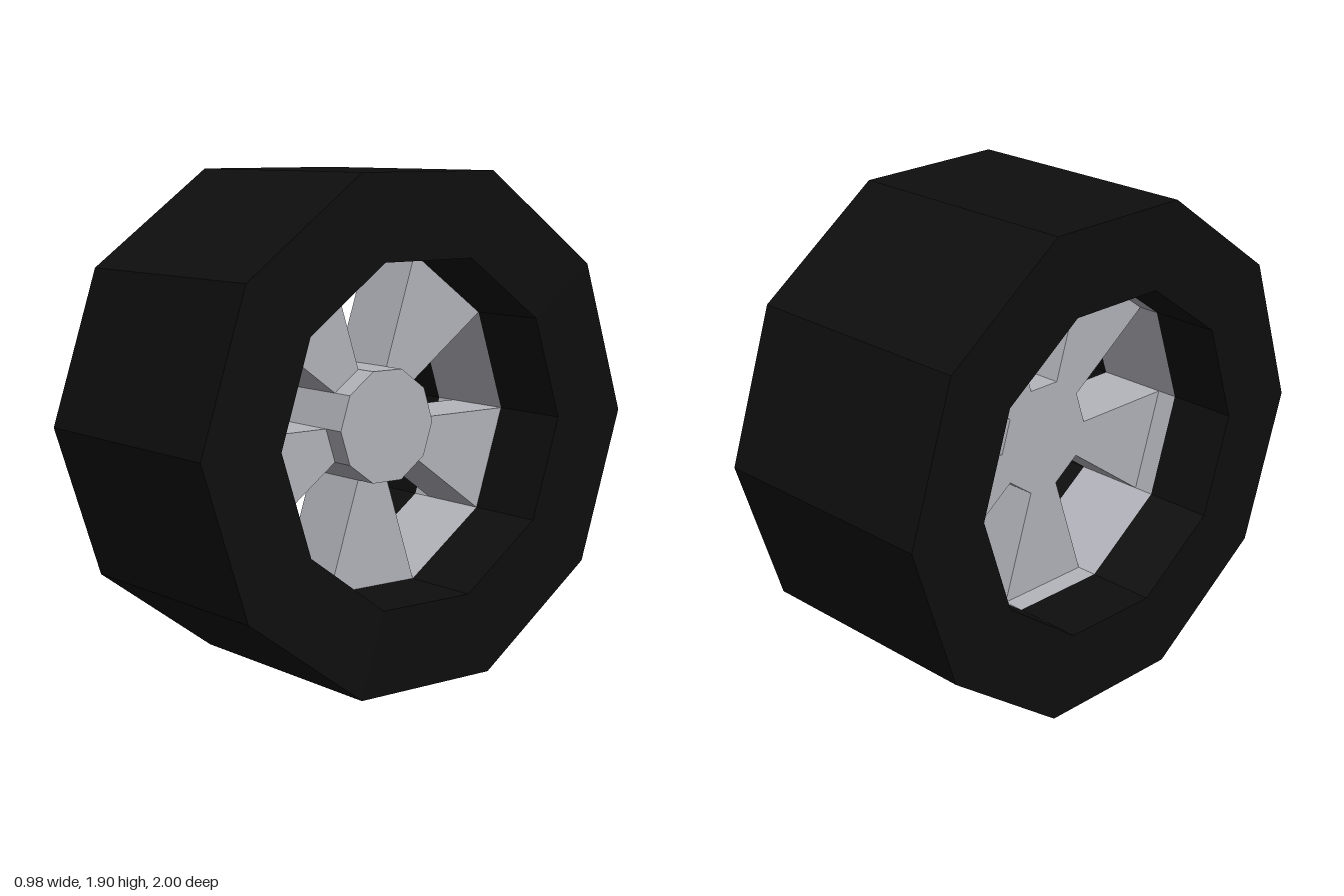
import * as THREE from 'three';

const SIDES = 10;
const R_TYRE = 1, R_RIM = 0.665, R_HUB = 0.222, HALF_W = 0.488;
const RIM_BACK = -0.21, RIM_FRONT = 0.165;      // metal band along the axle
const SPOKE_BACK = -0.125, HUB_FRONT = 0.255;

// Give every facet its own normal
function faceted(geometry) {
  const g = geometry.index ? geometry.toNonIndexed() : geometry;
  g.computeVertexNormals();
  return g;
}

// Ten-sided ring around the x axis from [radius, x] pairs
function ring(profile) {
  const points = profile.map(([r, x]) => new THREE.Vector2(r, x));
  return faceted(new THREE.LatheGeometry(points, SIDES).rotateZ(-Math.PI / 2));
}

// Flat outline extruded along the x axis
function slab(points, from, to) {
  const g = new THREE.ExtrudeGeometry(new THREE.Shape(points), { depth: to - from, bevelEnabled: false });
  return faceted(g.translate(0, 0, from).rotateY(Math.PI / 2));
}

const polar = (r, degrees) => {
  const a = THREE.MathUtils.degToRad(degrees);
  return new THREE.Vector2(r * Math.cos(a), r * Math.sin(a));
};

export function createModel() {
  const rubber = new THREE.MeshStandardMaterial({ color: 0x0e0e0e });
  rubber.name = 'black rubber';
  const metal = new THREE.MeshStandardMaterial({ color: 0xb4b4bc });
  metal.name = 'grey metal';

  const wheel = new THREE.Group();
  wheel.name = 'wheel';
  const add = (name, geometry, material) => {
    const mesh = new THREE.Mesh(geometry, material);
    mesh.name = name;
    wheel.add(mesh);
  };

  // Tyre: tread, both sidewalls and the black inner walls
  add('tyre', ring([
    [R_RIM, RIM_BACK], [R_RIM, -HALF_W], [R_TYRE, -HALF_W],
    [R_TYRE, HALF_W], [R_RIM, HALF_W], [R_RIM, RIM_FRONT],
  ]), rubber);

  // Rim: inward-facing metal band between the inner walls
  add('rim', ring([[R_RIM, RIM_FRONT], [R_RIM, RIM_BACK]]), metal);

  // Five wedge spokes, one pointing straight down
  for (let i = 0; i < 5; i++) {
    const a = 252 + i * 72, b = a + 36;
    add('spoke', slab(
      [polar(R_HUB, a), polar(R_RIM, a), polar(R_RIM, b), polar(R_HUB, b)],
      SPOKE_BACK, RIM_FRONT), metal);
  }

  // Hub: proud of the spokes in front, flush behind
  const outline = Array.from({ length: SIDES }, (_, i) => polar(R_HUB, i * 36));
  add('hub', slab(outline, SPOKE_BACK, HUB_FRONT), metal);

  // Rest the flat lower side on the ground
  wheel.position.y = R_TYRE * Math.cos(Math.PI / SIDES);
  const model = new THREE.Group();
  model.name = 'wheelModel';
  model.add(wheel);
  return model;
}
